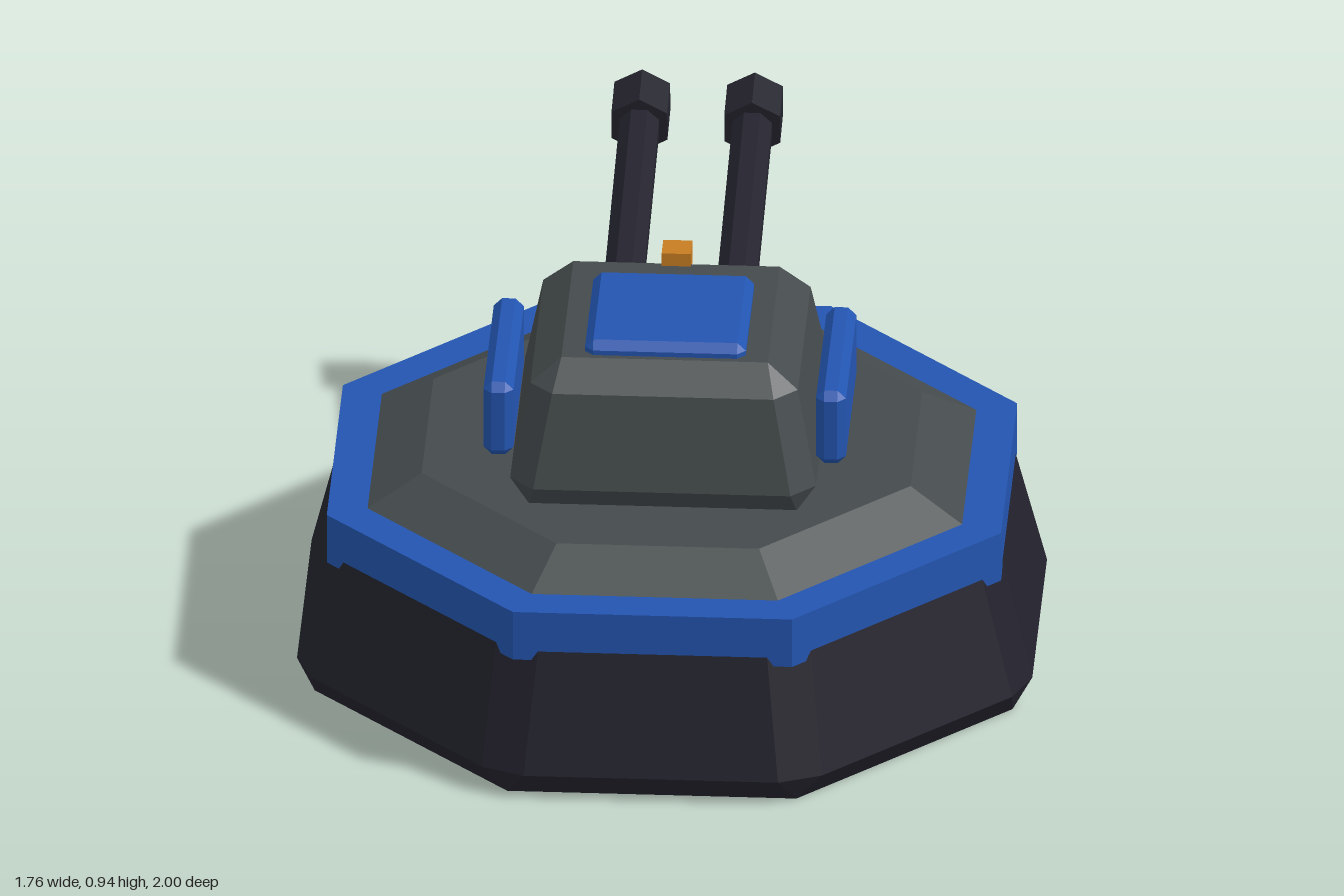
import * as THREE from 'three';
import { ConvexGeometry } from 'three/addons/geometries/ConvexGeometry.js';

const material = (name, color) => {
  const m = new THREE.MeshStandardMaterial({ color });
  m.name = name;
  return m;
};

// Regular n-sided outline at height y; cut > 0 trims each corner into a flat
function ring(n, apothem, y, cut = 0) {
  const half = apothem * Math.tan(Math.PI / n) - cut;
  const points = [];
  for (let i = 0; i < n; i++) {
    const a = (i / n) * Math.PI * 2;
    for (const s of cut > 0 ? [-half, half] : [half]) {
      points.push(new THREE.Vector3(
        Math.cos(a) * apothem - Math.sin(a) * s, y,
        Math.sin(a) * apothem + Math.cos(a) * s));
    }
  }
  return points;
}

// Box with every edge chamfered by b
function chamferBox(w, h, d, b) {
  const points = [];
  for (const x of [-1, 1]) for (const y of [-1, 1]) for (const z of [-1, 1]) {
    for (let k = 0; k < 3; k++) {
      points.push(new THREE.Vector3(
        x * (w / 2 - (k === 0 ? 0 : b)),
        y * (h / 2 - (k === 1 ? 0 : b)),
        z * (d / 2 - (k === 2 ? 0 : b))));
    }
  }
  return new ConvexGeometry(points);
}

// Octagonal slab with flats facing the axes, sized by apothem
function octagon(topApothem, bottomApothem, y0, y1) {
  const c = Math.cos(Math.PI / 8);
  return new THREE.CylinderGeometry(topApothem / c, bottomApothem / c, y1 - y0, 8)
    .rotateY(Math.PI / 8).translate(0, (y0 + y1) / 2, 0).toNonIndexed();
}

export function createModel() {
  const dark = material('darkMetal', 0x24232e);
  const blue = material('bluePaint', 0x2355b0);
  const grey = material('greyArmour', 0x454b4d);
  const orange = material('orangeSight', 0xc87d22);

  const model = new THREE.Group();
  model.name = 'gunTurret';
  const add = (name, geometry, mat, x = 0, y = 0, z = 0, parent = model) => {
    if (geometry.type !== 'BoxGeometry') geometry.computeVertexNormals();
    const mesh = new THREE.Mesh(geometry, mat);
    mesh.name = name;
    mesh.position.set(x, y, z);
    parent.add(mesh);
    return mesh;
  };

  // Base: chamfered octagonal foot, painted band and sloping deck
  const baseZ = 0.12;
  add('foot', new ConvexGeometry([
    ...ring(8, 0.835, 0),
    ...ring(8, 0.88, 0.065, 0.06),
    ...ring(8, 0.798, 0.4, 0.06),
    ...ring(8, 0.74, 0.44),
  ]), dark, 0, 0, baseZ);
  add('band', octagon(0.807, 0.807, 0.34, 0.468), blue, 0, 0, baseZ);
  add('deck', octagon(0.585, 0.715, 0.466, 0.54), grey, 0, 0, baseZ);

  // Turret housing: tapered square block with chamfered edges
  add('housing', new ConvexGeometry([
    ...ring(4, 0.32, 0.538),
    ...ring(4, 0.366, 0.6, 0.058),
    ...ring(4, 0.32, 0.835, 0.055),
    ...ring(4, 0.247, 0.897),
  ]), grey, 0, 0, 0.18);

  // Roof hatch and sight block
  add('roofHatch', chamferBox(0.385, 0.06, 0.385, 0.02), blue, 0, 0.899, 0.22);
  add('sight', new THREE.BoxGeometry(0.07, 0.055, 0.07), orange, 0, 0.903, -0.09);

  for (const side of [-1, 1]) {
    const label = side > 0 ? 'left' : 'right';

    // Side armour plates
    add(label + 'SidePlate', chamferBox(0.072, 0.195, 0.47, 0.02), blue, side * 0.398, 0.725, 0.206);

    // Gun: octagonal barrel with hexagonal muzzle, raised slightly, pointing back
    const gun = new THREE.Group();
    gun.name = label + 'Gun';
    gun.position.set(side * 0.135, 0.732, -0.05);
    gun.rotation.x = THREE.MathUtils.degToRad(8);
    model.add(gun);
    const barrel = new THREE.CylinderGeometry(0.051, 0.051, 0.85, 8)
      .rotateY(Math.PI / 8).rotateX(-Math.PI / 2).toNonIndexed();
    add(label + 'Barrel', barrel, dark, 0, 0, -0.425, gun);
    const muzzle = new THREE.CylinderGeometry(0.077, 0.077, 0.124, 6)
      .rotateX(-Math.PI / 2).toNonIndexed();
    add(label + 'Muzzle', muzzle, dark, 0, 0, -0.886, gun);
  }
  return model;
}
